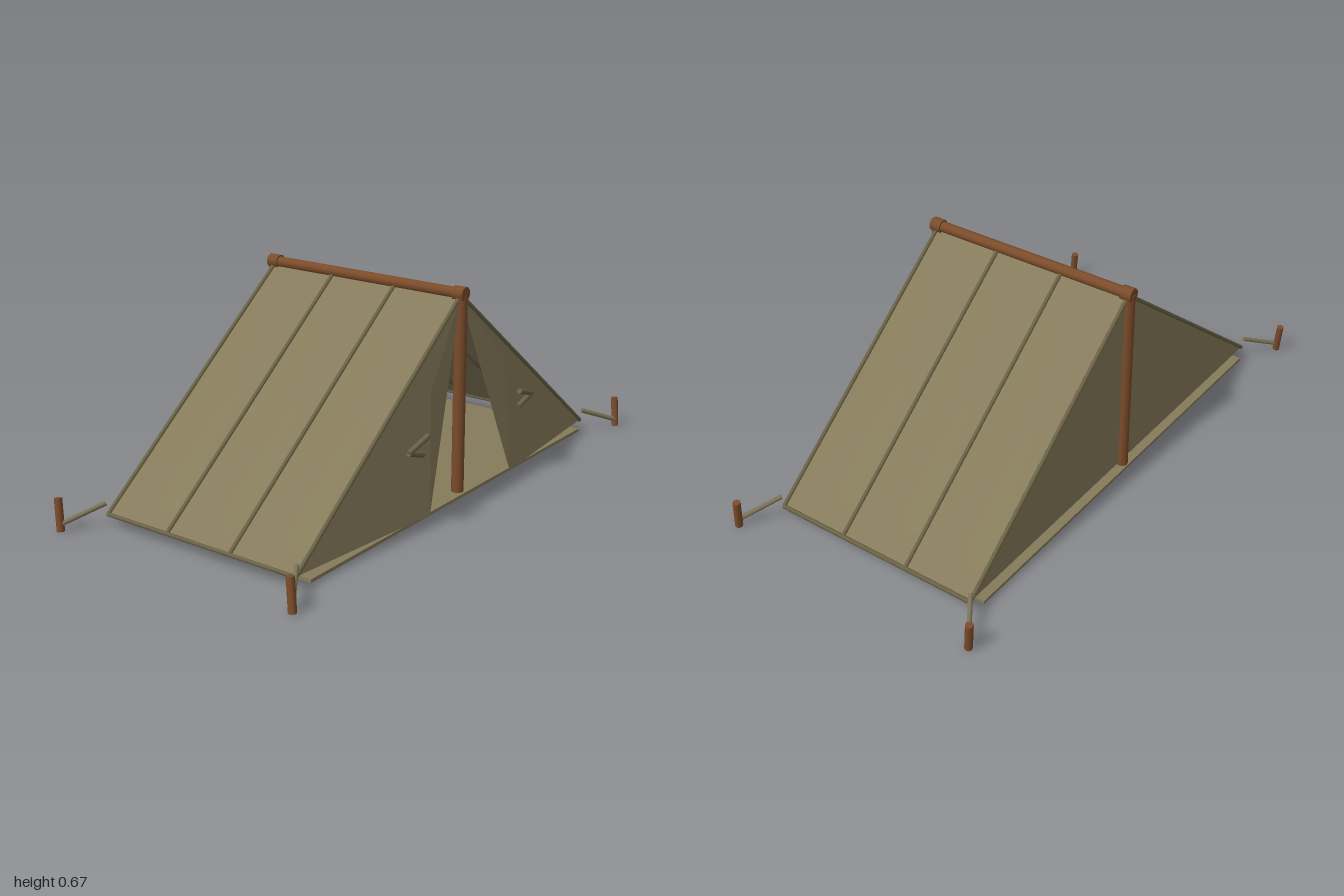
import * as THREE from 'three';

const material = (name, color, side = THREE.FrontSide) => {
  const m = new THREE.MeshStandardMaterial({ color, side });
  m.name = name;
  return m;
};

const HALF_W = 0.773, HALF_L = 0.35, EAVE = 0.037, RIDGE = 0.64;

export function createModel() {
  const canvas = material('olive canvas', 0x857b5b, THREE.DoubleSide);
  const seamCloth = material('dark olive seam', 0x6c6447);
  const rope = material('rope', 0x7d7557);
  const wood = material('brown wood', 0x7b4c2a);

  const model = new THREE.Group();
  model.name = 'tent';
  const tent = new THREE.Group();
  tent.name = 'tentBody';
  tent.rotation.y = 0.429;
  tent.position.set(-0.004, 0, 0.006);
  model.add(tent);

  const add = (name, geometry, mat) => {
    const mesh = new THREE.Mesh(geometry, mat);
    mesh.name = name;
    tent.add(mesh);
    return mesh;
  };

  // Round bar between two points
  const bar = (name, a, b, radius, mat, sides = 8) => {
    const from = new THREE.Vector3(...a), to = new THREE.Vector3(...b);
    const dir = to.clone().sub(from);
    const mesh = add(name, new THREE.CylinderGeometry(radius, radius, dir.length(), sides), mat);
    mesh.position.copy(from).add(to).multiplyScalar(0.5);
    mesh.quaternion.setFromUnitVectors(new THREE.Vector3(0, 1, 0), dir.normalize());
    return mesh;
  };

  // Flat cloth panel, fanned from its first corner
  const panel = (name, corners) => {
    const g = new THREE.BufferGeometry();
    const points = [];
    for (let i = 1; i < corners.length - 1; i++) points.push(...corners[0], ...corners[i], ...corners[i + 1]);
    g.setAttribute('position', new THREE.Float32BufferAttribute(points, 3));
    g.computeVertexNormals();
    return add(name, g, canvas);
  };

  // Roof slope: cloth sags slightly between the three seamed bays
  const roofSlope = (side) => {
    const g = new THREE.PlaneGeometry(1, 1, 36, 16);
    const p = g.attributes.position;
    const run = new THREE.Vector2(HALF_W, RIDGE - EAVE).normalize();
    for (let i = 0; i < p.count; i++) {
      const u = p.getX(i) + 0.5, v = 0.5 - p.getY(i);
      const sag = 0.012 * Math.sin(Math.PI * v) * Math.abs(Math.sin(3 * Math.PI * u));
      p.setXYZ(i,
        side * (HALF_W * v - run.y * sag),
        RIDGE + (EAVE - RIDGE) * v - run.x * sag,
        -side * (u - 0.5) * 2 * HALF_L);
    }
    g.computeVertexNormals();
    add(side > 0 ? 'leftRoof' : 'rightRoof', g, canvas);
  };

  for (const side of [-1, 1]) {
    const label = side > 0 ? 'left' : 'right';
    roofSlope(side);

    // Seams down the slope and along the eave
    for (let i = 0; i < 4; i++) {
      const z = -HALF_L + (i * 2 * HALF_L) / 3;
      bar(label + 'RoofSeam', [0, RIDGE, z], [side * HALF_W, EAVE, z], 0.007, seamCloth, 6);
    }
    bar(label + 'EaveHem', [side * HALF_W, EAVE, -HALF_L], [side * HALF_W, EAVE, HALF_L], 0.007, seamCloth, 6);

    // Front door flap, its free edge pulled outward
    const flap = [
      [0, RIDGE - 0.005, HALF_L], [side * 0.2, 0.405, 0.385],
      [side * 0.222, EAVE, 0.402], [side * HALF_W, EAVE, HALF_L],
    ];
    panel(label + 'DoorFlap', side > 0 ? flap : [flap[0], flap[3], flap[2], flap[1]]);

    // V-shaped tie holding the flap
    const apex = [side * 0.337, 0.262, 0.405];
    bar(label + 'FlapTie', apex, [side * 0.25, 0.292, 0.412], 0.009, seamCloth, 6);
    bar(label + 'FlapTie', apex, [side * 0.262, 0.236, 0.402], 0.009, seamCloth, 6);

    // Guy ropes and leaning pegs at the corners
    for (const end of [-1, 1]) {
      bar(label + 'GuyRope', [side * 0.775, 0.072, end * 0.355], [side * 0.885, 0.024, end * 0.43], 0.008, rope, 6);
      bar(label + 'Peg', [side * 0.885, 0.002, end * 0.43], [side * 0.885 + 0.008, 0.1, end * 0.43 - 0.012], 0.012, wood);
    }
  }

  // Closed back wall
  panel('backWall', [[0, RIDGE - 0.005, -HALF_L], [HALF_W, EAVE, -HALF_L], [-HALF_W, EAVE, -HALF_L]]);

  // Ground sheet
  add('groundSheet', new THREE.BoxGeometry(1.468, 0.01, 0.738), canvas).position.y = 0.015;

  // Ridge pole, uprights and end collars
  bar('ridgePole', [0, 0.645, -0.366], [0, 0.645, 0.366], 0.017, wood, 10);
  for (const end of [-1, 1]) {
    bar('uprightPole', [0, 0.028, end * 0.352], [0, 0.645, end * 0.352], 0.019, wood, 10);
    bar('poleCollar', [0, 0.645, end * 0.33], [0, 0.645, end * 0.368], 0.022, wood, 10);
  }

  return model;
}
